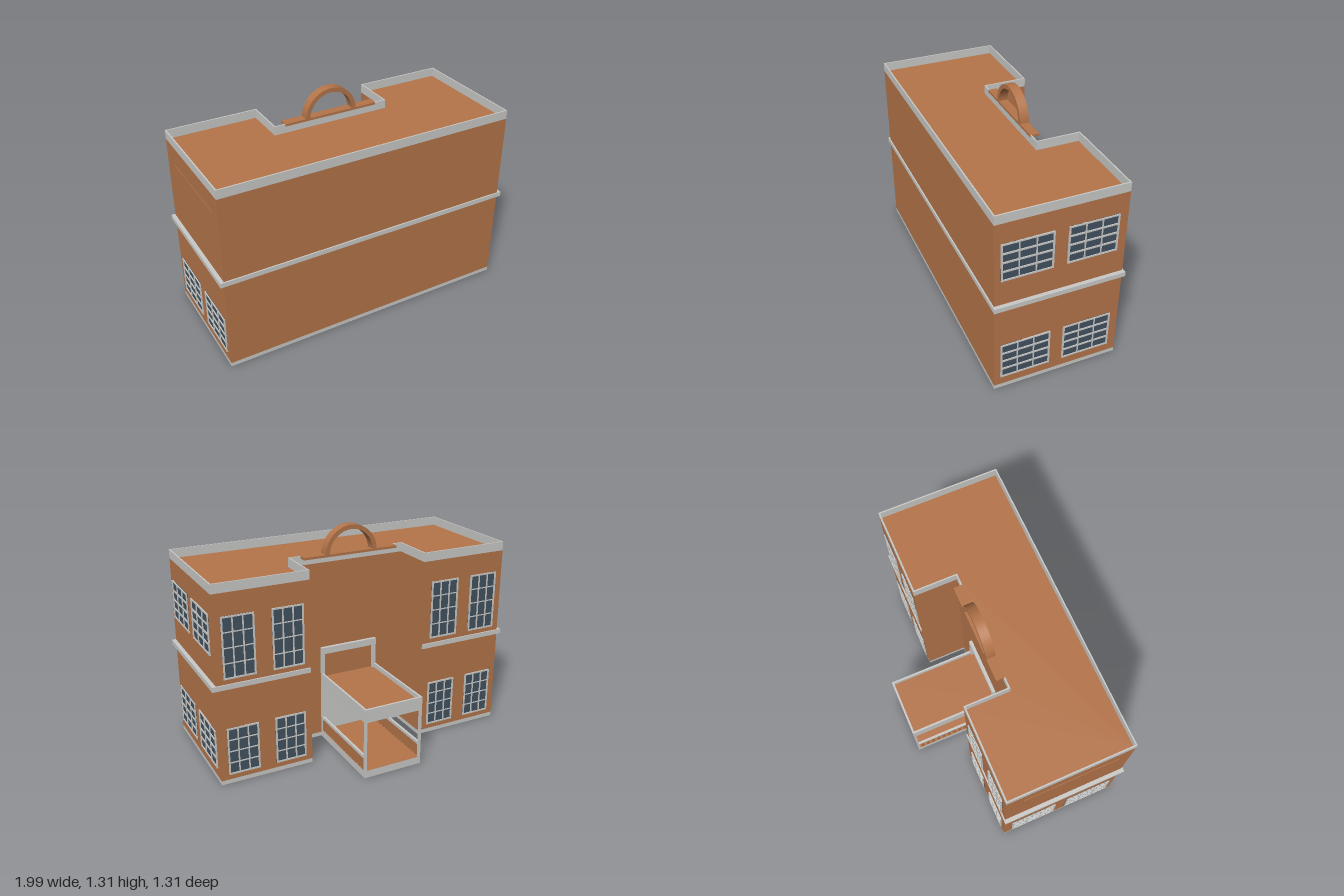
import * as THREE from 'three';
import { toCreasedNormals } from 'three/addons/utils/BufferGeometryUtils.js';

const mat = (name, color) => {
  const m = new THREE.MeshStandardMaterial({ color, side: THREE.DoubleSide });
  m.name = name;
  return m;
};

export function createModel() {
  const brick = mat('terracotta', 0xb5754a);
  const trim = mat('pale trim', 0xcacac8);
  const glass = mat('slate glass', 0x42525f);

  const model = new THREE.Group();
  model.name = 'building';
  // The whole building stands turned on its plot
  const body = new THREE.Group();
  body.name = 'turnedBuilding';
  body.rotation.y = -0.277;
  model.add(body);

  const add = (name, geo, material, parent = body) => {
    const m = new THREE.Mesh(geo, material);
    m.name = name;
    parent.add(m);
    return m;
  };
  // Box given by its limits on each axis
  const box = (name, material, x0, x1, y0, y1, z0, z1, parent = body) => {
    const m = add(name, new THREE.BoxGeometry(x1 - x0, y1 - y0, z1 - z0), material, parent);
    m.position.set((x0 + x1) / 2, (y0 + y1) / 2, (z0 + z1) / 2);
    return m;
  };

  // U-shaped plan: two wings at the back around a recess
  const L = -0.897, R = 0.915, FRONT = 0.406, BACK = -0.332, RECESS = -0.075;
  const IN_L = -0.345, IN_R = 0.37;
  const plan = (eu, ev, er, ei) => [
    [L - eu, FRONT + ev], [R + eu, FRONT + ev], [R + eu, BACK - ev], [IN_R - ei, BACK - ev],
    [IN_R - ei, RECESS - er], [IN_L + ei, RECESS - er], [IN_L + ei, BACK - ev], [L - eu, BACK - ev],
  ].map(([x, z]) => new THREE.Vector2(x, -z));
  const outer = plan(0, 0, 0, 0);
  const inset = (t) => plan(-t, -t, -t, -t);
  const slab = (name, material, pts, hole, y0, y1) => {
    const shape = new THREE.Shape(pts);
    if (hole) shape.holes.push(new THREE.Path(hole));
    const g = new THREE.ExtrudeGeometry(shape, { depth: y1 - y0, bevelEnabled: false });
    g.rotateX(-Math.PI / 2);
    g.translate(0, y0, 0);
    return add(name, g, material);
  };
  slab('baseTrim', trim, outer, inset(0.01), 0, 0.025);
  slab('walls', brick, outer, inset(0.006), 0.025, 1.1);
  slab('parapet', trim, outer, inset(0.008), 1.1, 1.153);
  slab('roof', brick, inset(0.004), null, 1.09, 1.1);
  // Belt course projects on the outer faces only
  slab('beltCourse', trim, plan(0.023, 0.008, -0.003, -0.005), inset(0.008), 0.568, 0.596);

  // Window facing +z, centred on its origin
  const windowUnit = (name, w, h, cols, rows, barV, barH) => {
    const g = new THREE.Group();
    g.name = name;
    const d = 0.008, f = 0.009;
    box('pane', glass, -w / 2, w / 2, -h / 2, h / 2, -0.0085, 0.002, g);
    for (let i = 0; i <= cols; i++) {
      const t = i % cols ? barV : f;
      const x = -w / 2 + t / 2 + (i / cols) * (w - t);
      box('upright', trim, x - t / 2, x + t / 2, -h / 2, h / 2, -0.009, d, g);
    }
    for (let j = 0; j <= rows; j++) {
      const t = j % rows ? barH : f;
      const y = -h / 2 + t / 2 + (j / rows) * (h - t);
      box('crossbar', trim, -w / 2, w / 2, y - t / 2, y + t / 2, -0.009, d - 0.001, g);
    }
    body.add(g);
    return g;
  };

  // Wide side windows; one side has them on the lower floor only
  for (const [z0, z1] of [[0.082, 0.37], [-0.281, 0.005]]) {
    for (const [y0, y1, sides] of [[0.08, 0.312, [1, -1]], [0.75, 0.98, [1]]]) {
      for (const s of sides) {
        const w = windowUnit('sideWindow', z1 - z0, y1 - y0, 3, 4, 0.006, 0.01);
        w.position.set(s > 0 ? R : L, (y0 + y1) / 2, (z0 + z1) / 2);
        w.rotation.y = s * Math.PI / 2;
      }
    }
  }
  // Blank upper panel on the other side
  box('blankPanel', brick, L - 0.003, L, 0.715, 0.99, -0.23, 0.33);

  // Tall windows on the ends of the wings
  for (const x of [0.78, 0.5, -0.493, -0.763]) {
    for (const [y0, y1] of [[0.056, 0.337], [0.625, 0.975]]) {
      const w = windowUnit('backWindow', 0.182, y1 - y0, 3, 4, 0.007, 0.005);
      w.position.set(x, (y0 + y1) / 2, BACK);
      w.rotation.y = Math.PI;
    }
  }

  // Arch standing on a thin ledge over the recess
  const C = 0.009, A0 = -0.12, A1 = -0.065;
  const ring = new THREE.Shape();
  ring.absarc(0, 0, 0.163, 0, Math.PI, false);
  ring.absarc(0, 0, 0.137, Math.PI, 0, true);
  const ringGeo = new THREE.ExtrudeGeometry(ring, { depth: A1 - A0, bevelEnabled: false, curveSegments: 24 });
  add('roofArch', toCreasedNormals(ringGeo, 0.5), brick).position.set(C, 1.147, A0);
  box('archLedge', brick, C - 0.295, C + 0.295, 1.14, 1.154, A0, A1);

  // Entrance surround on the recess wall
  const PL = -0.173, PR = 0.189, PE = -0.627;
  box('entranceHeader', trim, PL, PR, 0.545, 0.585, RECESS - 0.02, RECESS);
  for (const x of [PL, PR - 0.02]) {
    box('entranceJamb', trim, x, x + 0.02, 0.045, 0.545, RECESS - 0.02, RECESS);
  }
  box('entrancePanel', trim, PL + 0.02, PR - 0.02, 0.045, 0.345, RECESS - 0.008, RECESS);

  // Porch floor with pale edges
  box('porchFloor', [trim, trim, brick, brick, trim, trim], PL, PR, 0.001, 0.045, PE, RECESS);

  // Canopy: fascia on three sides, roof set below its rim, pale ceiling
  box('canopyRoof', [trim, trim, brick, trim, trim, trim],
    PL + 0.01, PR - 0.01, 0.375, 0.395, PE + 0.01, RECESS);
  box('endFascia', trim, PL, PR, 0.343, 0.422, PE, PE + 0.012);
  for (const [x, s] of [[PL, 1], [PR, -1]]) {
    const side = new THREE.Group();
    side.name = 'porchSide';
    side.position.x = x;
    side.scale.x = s;
    body.add(side);
    box('sideFascia', trim, 0, 0.012, 0.343, 0.422, PE + 0.012, RECESS, side);
    box('post', trim, 0, 0.014, 0.045, 0.343, PE, PE + 0.014, side);
    box('handrail', trim, 0, 0.014, 0.12, 0.137, PE + 0.014, RECESS, side);
    const n = 14, step = (RECESS - PE - 0.03) / n;
    for (let i = 0; i < n; i++) {
      const z = PE + 0.025 + i * step;
      box('baluster', brick, 0.002, 0.012, 0.045, 0.12, z, z + 0.022, side);
    }
  }
  return model;
}
